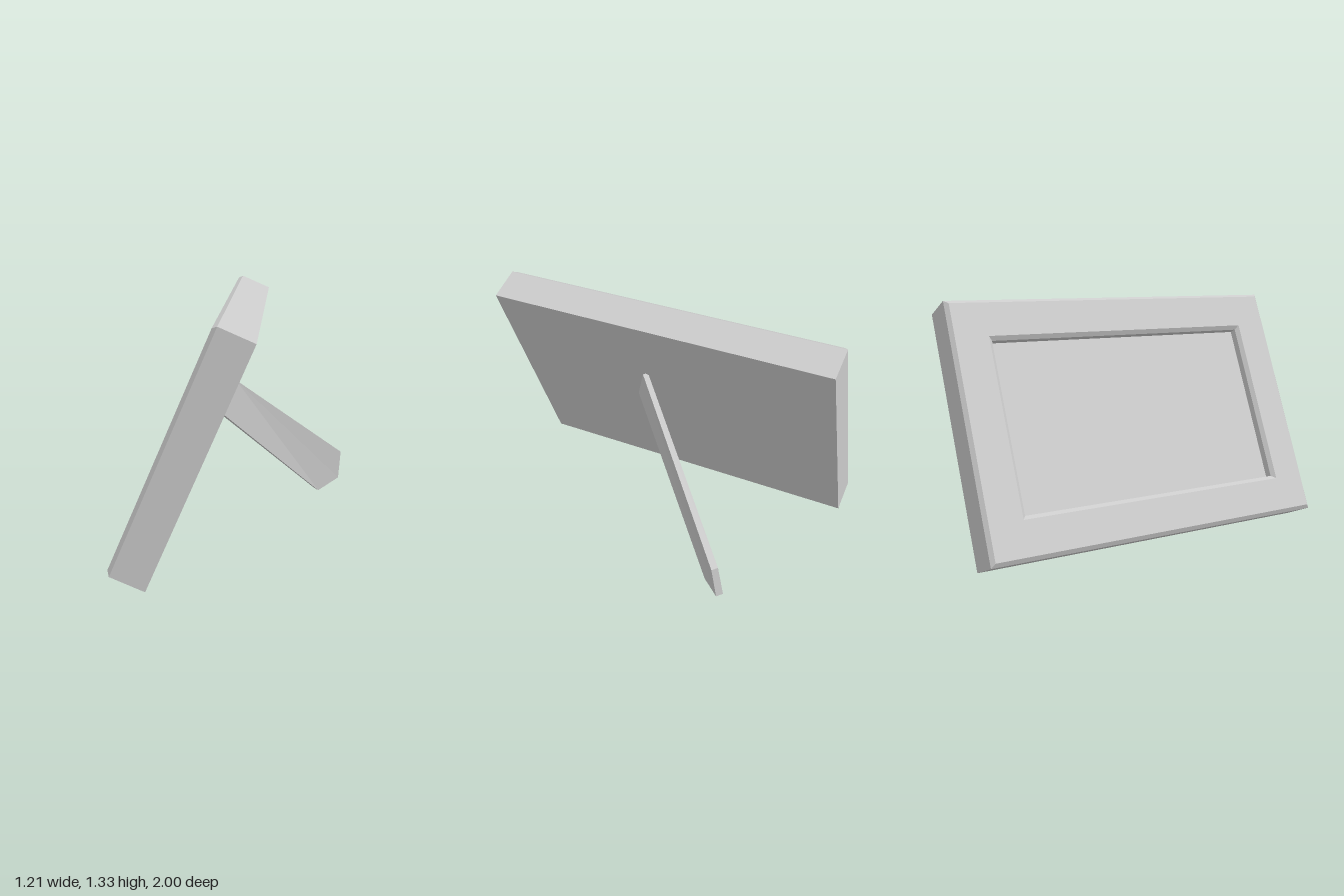
import * as THREE from 'three';

// Skins a list of matching corner loops (counter-clockwise seen from the last one) and caps both ends.
function loft(rings, name) {
  const pos = [];
  const tri = (...pts) => pts.forEach((p) => pos.push(...p));
  const n = rings[0].length;
  for (let r = 0; r < rings.length - 1; r++) {
    const a = rings[r], b = rings[r + 1];
    for (let i = 0; i < n; i++) {
      const j = (i + 1) % n;
      tri(a[i], a[j], b[j]);
      tri(a[i], b[j], b[i]);
    }
  }
  const first = rings[0], last = rings[rings.length - 1];
  for (let i = 1; i < n - 1; i++) {
    tri(first[0], first[i + 1], first[i]);
    tri(last[0], last[i], last[i + 1]);
  }
  const geo = new THREE.BufferGeometry();
  geo.setAttribute('position', new THREE.Float32BufferAttribute(pos, 3));
  geo.computeVertexNormals();
  const mesh = new THREE.Mesh(geo, new THREE.MeshStandardMaterial({ color: 0xcccccc, flatShading: true }));
  mesh.name = name;
  return mesh;
}

export function createModel() {
  const model = new THREE.Group();
  model.name = 'pictureFrame';

  // Frame: rectangular loops from the back, over the bevelled rim, into the recess
  const W = 1, H = 1.337;
  const rect = (inset, depth) => [
    [-W + inset, inset, depth], [W - inset, inset, depth],
    [W - inset, H - inset, depth], [-W + inset, H - inset, depth],
  ];
  const frame = loft([
    rect(0, 0), rect(0, 0.19), rect(0.02, 0.21), // back, sides, outer bevel
    rect(0.2, 0.21), rect(0.22, 0.19), rect(0.22, 0.15), // border, inner bevel, picture panel
  ], 'framePanel');

  // Lean the frame back, facing -x
  const up = new THREE.Vector3(0.535, 1.225, 0).normalize();
  const out = new THREE.Vector3(-up.y, up.x, 0);
  const basis = new THREE.Matrix4().makeBasis(new THREE.Vector3(0, 0, 1), up, out);
  frame.quaternion.setFromRotationMatrix(basis);
  frame.position.set(-0.42, 0.03, 0);
  model.add(frame);

  // Support leg: a thin tapering plank with a pointed foot
  const outer = [
    [-0.035, 0.885, 0.135], [-0.1, 0.705, 0.2],
    [0.46, 0.0, -0.505], [0.594, 0.045, -0.632], [0.604, 0.235, -0.602],
  ];
  const inner = [
    [-0.055, 0.89, 0.113], [-0.125, 0.705, 0.172],
    [0.431, 0.007, -0.535], [0.566, 0.052, -0.66], [0.578, 0.242, -0.628],
  ];
  model.add(loft([inner, outer], 'supportLeg'));

  return model;
}
